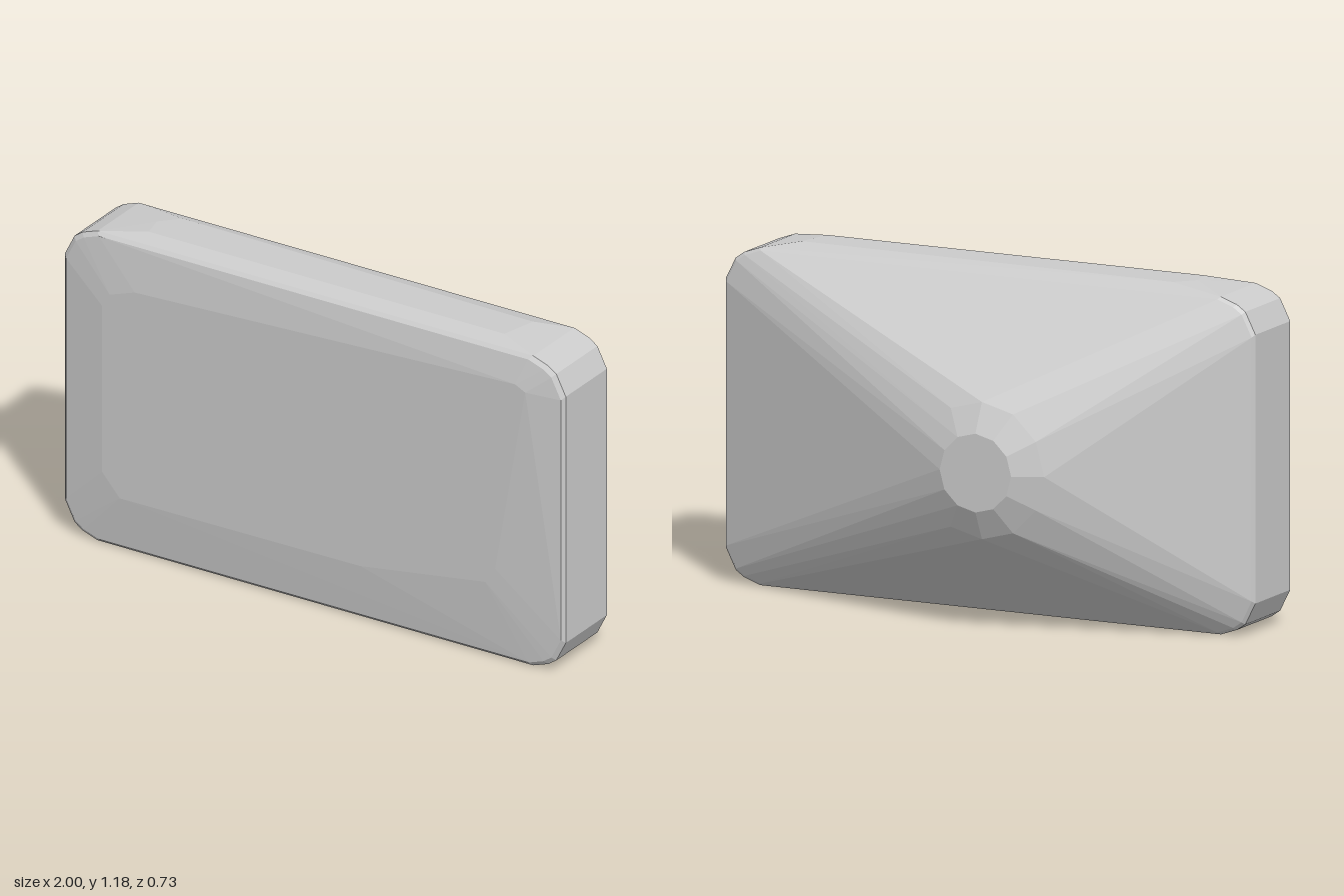
import * as THREE from 'three';
import { ConvexGeometry } from 'three/addons/geometries/ConvexGeometry.js';

// Outline of the slab at depth z: a rectangle with faceted corners
function outline(z, inset) {
  const corner = [[1, 0.46], [0.962, 0.535], [0.93, 0.557], [0.87, 0.578]];
  const points = [];
  for (const sx of [-1, 1]) for (const sy of [-1, 1]) {
    for (const [x, y] of corner) {
      points.push(new THREE.Vector3(sx * (x - inset), 0.578 + sy * (y - inset), z));
    }
  }
  return points;
}

// Ring of points around the off-centre rear tip
function tipRing(radius, z, sides = 12) {
  const points = [];
  for (let i = 0; i < sides; i++) {
    const a = (i / sides) * Math.PI * 2;
    points.push(new THREE.Vector3(-0.175 + radius * Math.cos(a), 0.568 + radius * Math.sin(a), z));
  }
  return points;
}

export function createModel() {
  const group = new THREE.Group();
  const material = new THREE.MeshStandardMaterial({ color: 0xcccccc, flatShading: true });

  // Slightly domed front panel
  const front = [
    [-0.83, 0.9], [-0.8, 0.95], [-0.7, 0.985], [0.82, 1.05], [0.86, 1.03],
    [0.74, 0.34], [0.7, 0.28], [0.2, 0.205], [-0.76, 0.2], [-0.83, 0.28],
  ].map(([x, y]) => new THREE.Vector3(x, y, 0.367));

  // Raised flat along the top edge
  const top = [
    [-0.72, 0.2], [-0.66, 0.135], [0.75, 0.15], [0.68, 0.2], [0.72, 0.28], [-0.7, 0.28],
  ].map(([x, z]) => new THREE.Vector3(x, 1.176, z));

  // One faceted convex body wraps the slab, panel, top flat and rear tip
  const body = new THREE.Mesh(new ConvexGeometry([
    ...outline(0.068, 0.008),
    ...outline(0.08, 0),
    ...outline(0.333, 0),
    ...outline(0.345, 0.012),
    ...front,
    ...top,
    ...tipRing(0.235, -0.32),
    ...tipRing(0.135, -0.367),
  ]), material);
  body.name = 'body';
  group.add(body);
  return group;
}
